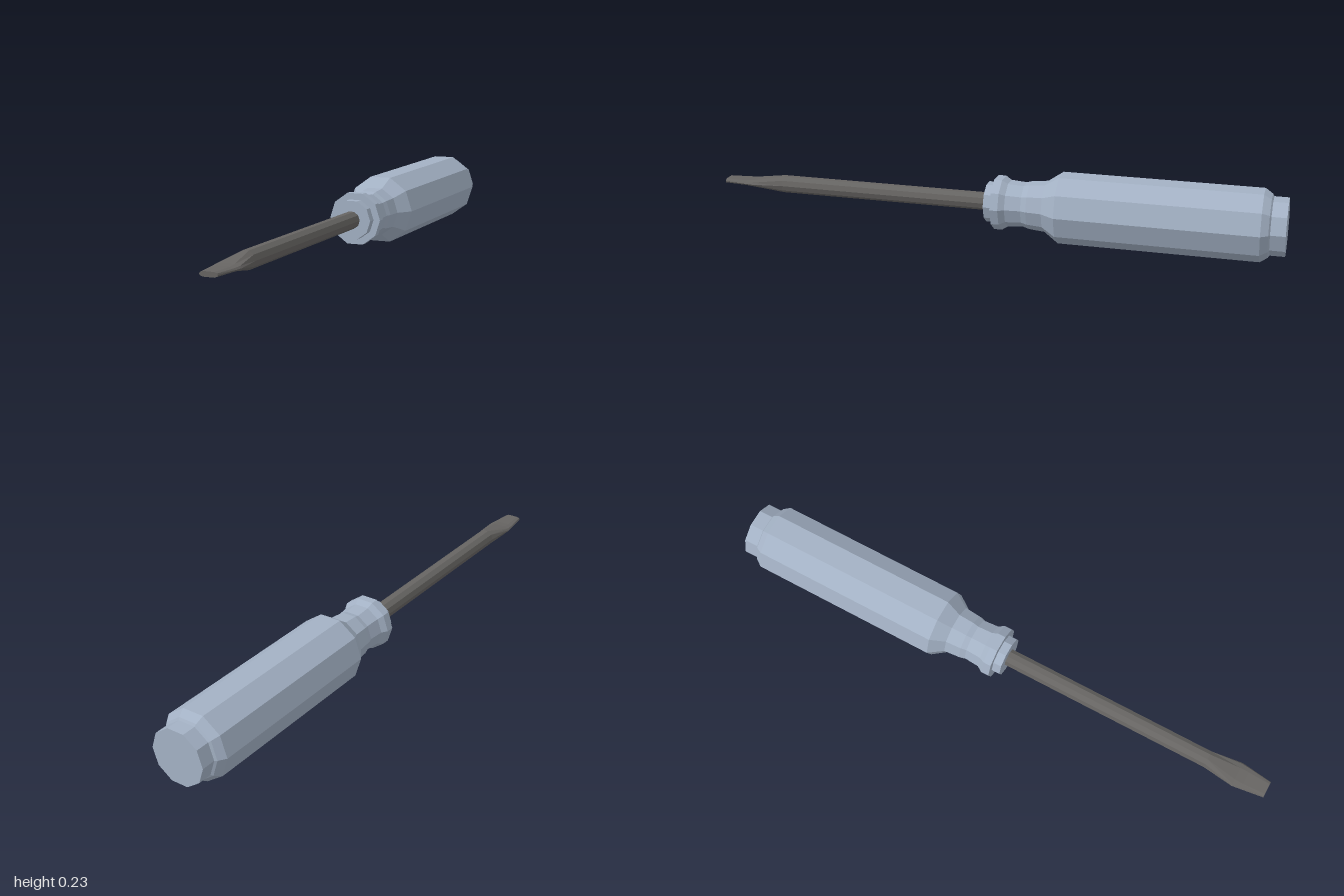
import * as THREE from 'three';

const SIDES = 10;
const AXIS_Y = 0.117;

// Skins ten-sided rings [z, rx, ry, squareness] from back to front, with both ends capped.
function loft(rings) {
  const pos = [];
  const point = ([z, rx, ry = rx, e = 1], j) => {
    const a = (j / SIDES) * Math.PI * 2;
    const c = Math.cos(a);
    return [Math.sign(c) * Math.abs(c) ** e * rx, Math.sin(a) * ry, z];
  };
  const first = rings[0], last = rings[rings.length - 1];
  for (let j = 0; j < SIDES; j++) {
    for (let i = 0; i < rings.length - 1; i++) {
      const a = point(rings[i], j), b = point(rings[i], j + 1);
      const c = point(rings[i + 1], j + 1), d = point(rings[i + 1], j);
      pos.push(...a, ...b, ...c, ...a, ...c, ...d);
    }
    pos.push(0, 0, first[0], ...point(first, j + 1), ...point(first, j));
    pos.push(0, 0, last[0], ...point(last, j), ...point(last, j + 1));
  }
  const geo = new THREE.BufferGeometry();
  geo.setAttribute('position', new THREE.Float32BufferAttribute(pos, 3));
  geo.computeVertexNormals();
  return geo;
}

function part(name, color, rings) {
  const mesh = new THREE.Mesh(loft(rings), new THREE.MeshStandardMaterial({ color, flatShading: true }));
  mesh.name = name;
  mesh.position.y = AXIS_Y;
  return mesh;
}

export function createModel() {
  const group = new THREE.Group();
  group.name = 'screwdriver';

  // Grip with end cap, shoulders, waisted neck, flange and front collar
  group.add(part('handle', 0xa3b1c4, [
    [-1, 0.098], [-0.95, 0.098], [-0.945, 0.106], [-0.92, 0.123],
    [-0.24, 0.123], [-0.19, 0.088], [-0.135, 0.083], [-0.115, 0.077],
    [-0.06, 0.081], [-0.04, 0.094], [-0.012, 0.094], [-0.012, 0.07], [0.018, 0.07],
  ]));

  // Round shaft flattening into a flared flat blade
  group.add(part('shaftAndBlade', 0x666462, [
    [0, 0.031], [0.78, 0.031], [0.89, 0.045, 0.011, 0.6], [0.92, 0.041, 0.0085, 0.5], [1, 0.03, 0.0085, 0.4],
  ]));
  return group;
}
